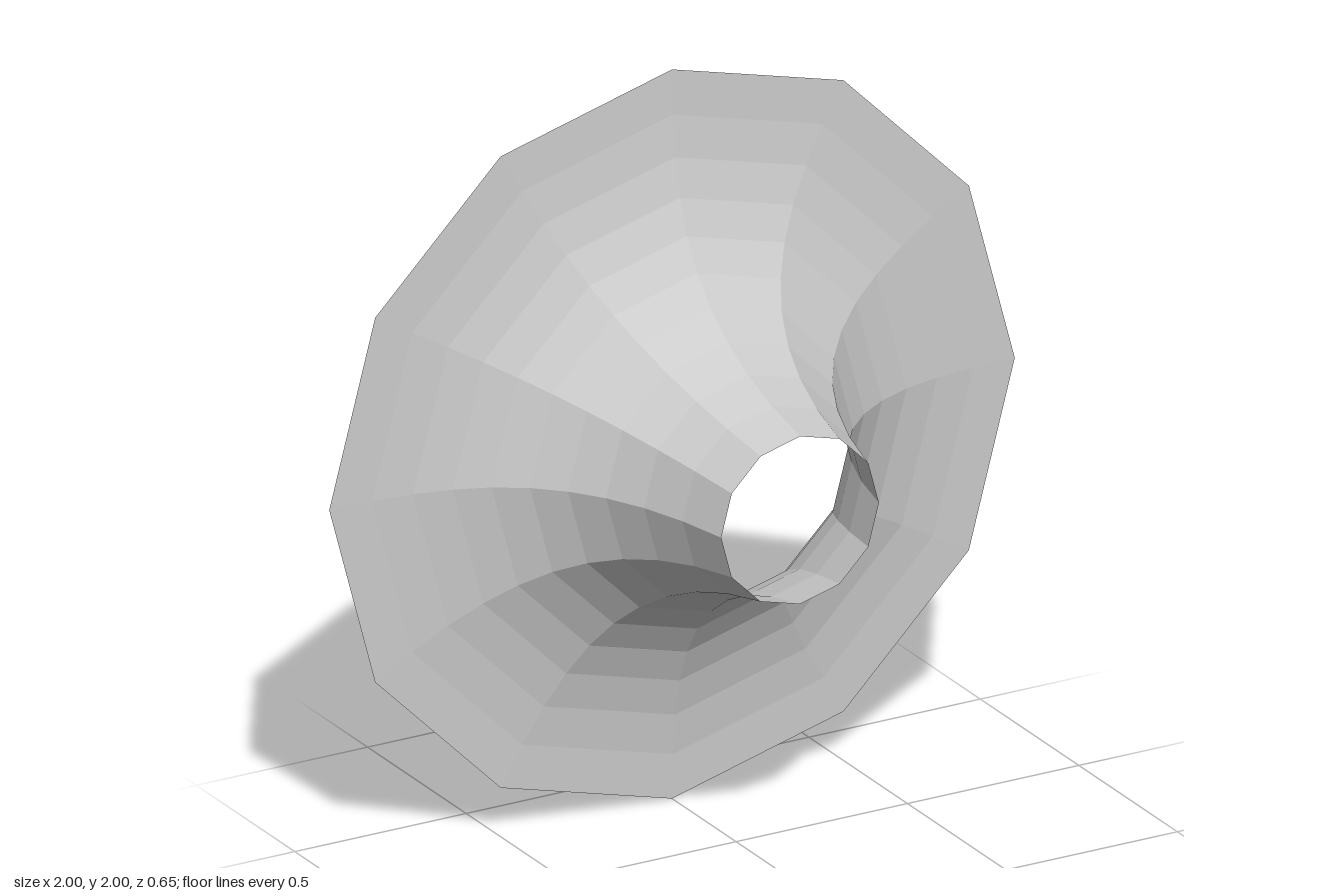
import * as THREE from 'three';

const SIDES = 12;
const RINGS = 10;
const DEPTH = 0.65;

export function createModel() {
  const model = new THREE.Group();
  model.name = 'flaredHorn';

  // Flare profile (radius, depth) from the flat wide rim to the narrow mouth
  const profile = [];
  for (let i = 0; i <= RINGS; i++) {
    const t = 1 - i / RINGS;
    const radius = 0.23 + 0.26 * t + 0.51 * t * t;
    const depth = DEPTH * Math.pow(1 - t, 2.35) - DEPTH / 2;
    profile.push(new THREE.Vector2(radius, depth));
  }

  // Open twelve-sided shell, axis turned to face the front
  const geometry = new THREE.LatheGeometry(profile, SIDES);
  geometry.rotateX(Math.PI / 2);
  geometry.translate(0, 1, 0);

  const shell = new THREE.Mesh(
    geometry,
    new THREE.MeshStandardMaterial({ color: 0xcccccc, flatShading: true, side: THREE.DoubleSide })
  );
  shell.name = 'hornShell';
  model.add(shell);
  return model;
}
